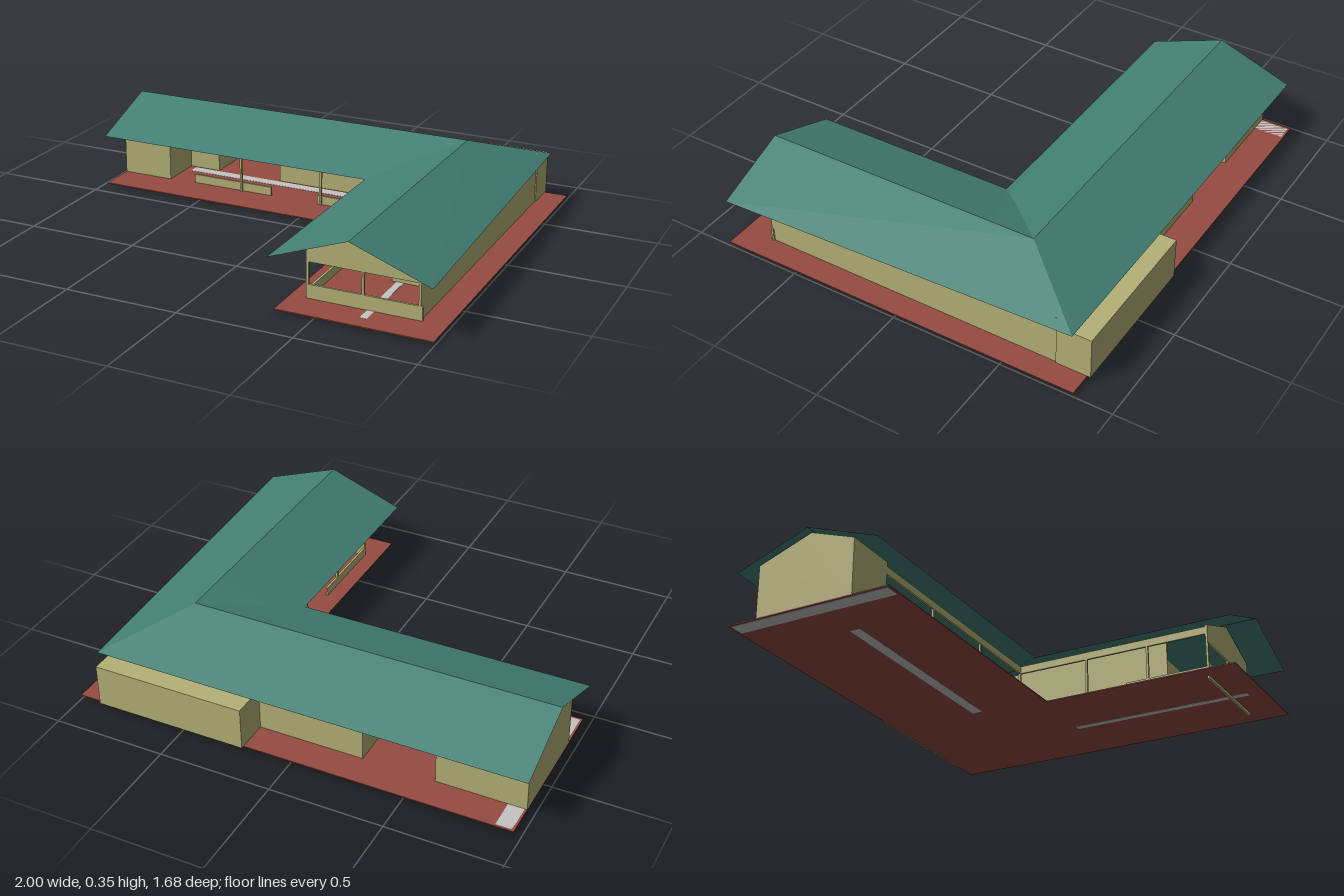
import * as THREE from 'three';

export function createModel() {
  const model = new THREE.Group();
  const mat = (name, color, side = THREE.FrontSide) => {
    const m = new THREE.MeshStandardMaterial({ color, side });
    m.name = name;
    return m;
  };
  const wallPaint = mat('khaki wall', 0xb5b177);
  const roofPaint = mat('teal roof', 0x438074, THREE.DoubleSide);
  const floorPaint = mat('red floor', 0x964b41);
  const stripPaint = mat('pale grey strip', 0xc4c4c4);

  const add = (name, geometry, material) => {
    const mesh = new THREE.Mesh(geometry, material);
    mesh.name = name;
    model.add(mesh);
    return mesh;
  };
  // Box given by its limits on each axis
  const box = (name, x0, x1, y0, y1, z0, z1, material = wallPaint) => {
    const mesh = add(name, new THREE.BoxGeometry(x1 - x0, y1 - y0, z1 - z0), material);
    mesh.position.set((x0 + x1) / 2, (y0 + y1) / 2, (z0 + z1) / 2);
    return mesh;
  };
  // Flat sheet from corners in order, as a fan
  const sheet = (name, corners, material) => {
    const pos = [];
    for (let i = 1; i < corners.length - 1; i++) pos.push(...corners[0], ...corners[i], ...corners[i + 1]);
    const g = new THREE.BufferGeometry();
    g.setAttribute('position', new THREE.Float32BufferAttribute(pos, 3));
    g.computeVertexNormals();
    return add(name, g, material);
  };
  const extruded = (points, depth) => new THREE.ExtrudeGeometry(
    new THREE.Shape(points.map(p => new THREE.Vector2(...p))), { depth, bevelEnabled: false });

  const F = 0.02, E = 0.23, R = 0.355; // floor, eave and ridge heights

  // L-shaped floor slab (shape y becomes -z)
  const slab = extruded([[-0.97, 0.06], [0.34, 0.06], [0.34, -0.84], [1, -0.84], [1, 0.83], [-0.97, 0.83]], 0.005);
  slab.rotateX(-Math.PI / 2).translate(0, F - 0.005, 0);
  add('floor', slab, floorPaint);
  box('longWingFloorStrip', -0.7, 0.3, 0.014, 0.021, -0.42, -0.37, stripPaint);
  box('shortWingFloorStrip', 0.67, 0.7, 0.014, 0.021, -0.08, 0.77, stripPaint);
  box('endFloorStrip', -0.96, -0.89, 0.014, F, -0.82, -0.07, stripPaint);

  // Roof slopes
  sheet('backRoof', [[-1, E, -0.78], [-1, R, -0.44], [0.65, R, -0.44], [0.93, E, -0.78]], roofPaint);
  sheet('longWingFrontRoof', [[-1, E, -0.1], [0.31, E, -0.1], [0.42, 0.272, -0.215], [0.42, R, -0.44], [-1, R, -0.44]], roofPaint);
  sheet('valleyRoof', [[0.42, 0.272, -0.215], [0.65, R, -0.25], [0.65, R, -0.44], [0.42, R, -0.44]], roofPaint);
  sheet('innerRoof', [[0.31, E, -0.1], [0.31, E, 0.84], [0.65, R, 0.84], [0.65, R, -0.25], [0.42, 0.272, -0.215]], roofPaint);
  sheet('outerRoof', [[0.99, E, 0.84], [0.93, E, -0.78], [0.65, R, -0.44], [0.65, R, 0.84]], roofPaint);

  // Outer walls
  box('outerSideWall', 0.88, 0.89, F, 0.245, -0.69, 0.69);
  box('backWall', -0.26, 0.89, F, 0.25, -0.69, -0.68);
  box('endRoomBackWall', -0.97, -0.58, F, 0.25, -0.69, -0.68);
  box('endRoomFrontWall', -0.97, -0.73, F, 0.27, -0.24, -0.23);
  box('endRoomSideWall', -0.74, -0.73, F, 0.27, -0.44, -0.23);
  box('rearAnnex', 0.21, 0.895, F, 0.21, -0.845, -0.69);

  // Gable wall at the end of the long wing
  const endGable = extruded([[0.23, F], [0.69, F], [0.69, 0.255], [0.44, 0.345], [0.23, 0.27]], 0.01);
  endGable.rotateY(Math.PI / 2).translate(-0.97, 0, 0);
  add('endGable', endGable, wallPaint);

  // Inner walls and open passage
  box('endRoomInnerWall', -0.73, -0.58, F, 0.33, -0.44, -0.43);
  box('longWingInnerWall', -0.26, 0.66, F, 0.33, -0.44, -0.43);
  for (const x of [-0.59, -0.26]) box('passageWall', x, x + 0.01, F, 0.25, -0.69, -0.43);
  box('shortWingInnerWall', 0.65, 0.66, F, 0.33, -0.43, 0.4);
  box('hallBackWall', 0.65, 0.89, F, 0.25, 0.39, 0.4);

  // Veranda of the long wing
  box('verandaBeam', -0.73, 0.42, 0.215, 0.25, -0.24, -0.23);
  for (const [x0, x1] of [[-0.605, -0.21], [0.02, 0.41]]) box('verandaParapet', x0, x1, F, 0.06, -0.25, -0.24);
  for (const x of [-0.36, 0.04, 0.41]) box('verandaPost', x - 0.005, x + 0.005, F, 0.25, -0.24, -0.23);

  // Veranda of the short wing
  box('sideVerandaBeam', 0.41, 0.42, 0.215, 0.25, -0.24, 0.69);
  box('sideParapet', 0.41, 0.42, F, 0.06, 0.3, 0.69);
  for (const z of [0.1, 0.4]) box('sidePost', 0.41, 0.42, F, 0.25, z, z + 0.01);

  // Open front with gable, posts and parapet
  const frontGable = extruded([[0.41, 0.175], [0.89, 0.175], [0.89, 0.257], [0.65, 0.345], [0.41, 0.257]], 0.01);
  frontGable.translate(0, 0, 0.685);
  add('frontGable', frontGable, wallPaint);
  box('frontParapet', 0.41, 0.897, 0, 0.08, 0.685, 0.695);
  for (const x of [0.41, 0.645, 0.88]) box('frontPost', x, x + 0.01, F, 0.18, 0.685, 0.695);

  return model;
}
